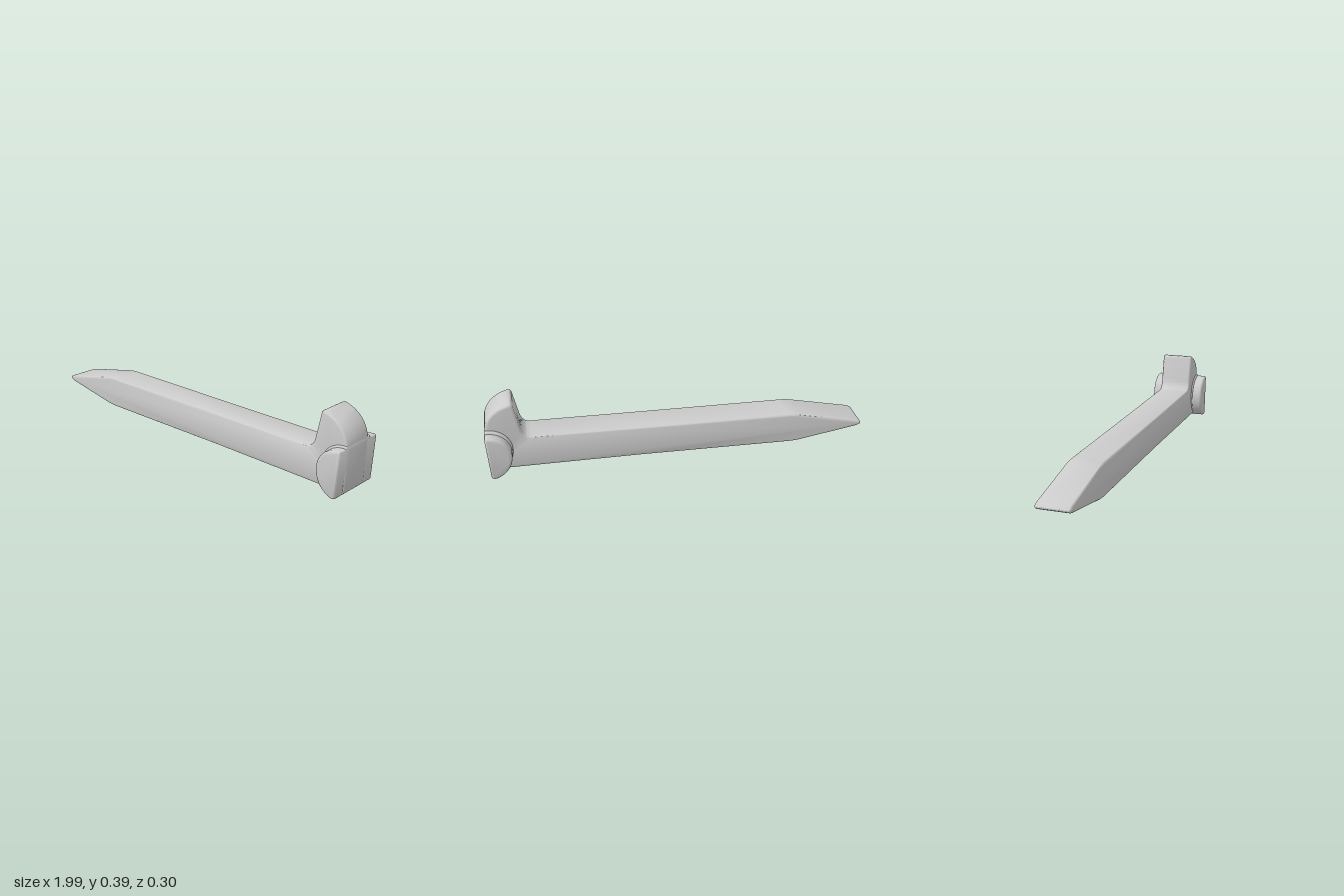
import * as THREE from 'three';
import { toCreasedNormals } from 'three/addons/utils/BufferGeometryUtils.js';

const material = new THREE.MeshStandardMaterial({ color: 0xcccccc });

// Side outline extruded along z, centred, with rounded edges that keep the outline's size
function slab(name, shape, width, round) {
  let geo = new THREE.ExtrudeGeometry(shape, {
    depth: width - 2 * round, curveSegments: 10, bevelEnabled: true,
    bevelThickness: round, bevelSize: round, bevelOffset: -round, bevelSegments: 4,
  });
  geo.translate(0, 0, -width / 2 + round);
  geo = toCreasedNormals(geo, 0.7);
  const mesh = new THREE.Mesh(geo, material);
  mesh.name = name;
  return mesh;
}

// Shank with chisel point and hooked head in one outline
function shankShape() {
  const s = new THREE.Shape();
  s.moveTo(-0.975, 0.068);
  s.lineTo(-0.65, 0.012);
  s.quadraticCurveTo(-0.62, 0.008, -0.58, 0.009);
  s.lineTo(0.2, 0.017);
  s.lineTo(0.97, 0.017);
  s.quadraticCurveTo(0.984, 0.017, 0.985, 0.03);
  s.lineTo(0.993, 0.235);
  s.bezierCurveTo(0.99, 0.31, 0.945, 0.365, 0.865, 0.388);
  s.quadraticCurveTo(0.845, 0.394, 0.84, 0.375);
  s.lineTo(0.814, 0.25);
  s.quadraticCurveTo(0.805, 0.196, 0.765, 0.192);
  s.lineTo(0.2, 0.186);
  s.lineTo(-0.58, 0.18);
  s.quadraticCurveTo(-0.62, 0.18, -0.65, 0.173);
  s.lineTo(-0.97, 0.104);
  s.quadraticCurveTo(-1.025, 0.087, -0.975, 0.068);
  return s;
}

// Rounded cheek outline; grow enlarges it about the lower corner of the end face
function cheekShape(grow) {
  const gx = (x) => 0.985 + (x - 0.985) * grow;
  const gy = (y) => 0.02 + (y - 0.02) * grow;
  const s = new THREE.Shape();
  s.moveTo(gx(0.98), gy(0.012));
  s.lineTo(0.993, gy(0.235));
  s.quadraticCurveTo(0.992, gy(0.245), gx(0.975), gy(0.244));
  s.bezierCurveTo(gx(0.91), gy(0.24), gx(0.865), gy(0.19), gx(0.865), gy(0.13));
  s.bezierCurveTo(gx(0.865), gy(0.07), gx(0.9), gy(0.025), gx(0.945), gy(0.006));
  s.quadraticCurveTo(gx(0.97), gy(-0.004), gx(0.98), gy(0.012));
  return s;
}

export function createModel() {
  const spike = new THREE.Group();
  spike.name = 'spike';

  const shank = slab('shankAndHook', shankShape(), 0.174, 0.012);
  // The shank drifts slightly towards the back at its point
  const p = shank.geometry.attributes.position;
  for (let i = 0; i < p.count; i++) p.setZ(i, p.getZ(i) - 0.012 + 0.009 * (p.getX(i) + 1));
  spike.add(shank);

  // Side cheeks of the head and the soft fillet at their root
  spike.add(slab('headCheeks', cheekShape(1), 0.303, 0.014));
  spike.add(slab('cheekFillet', cheekShape(1.05), 0.2, 0.012));
  return spike;
}
